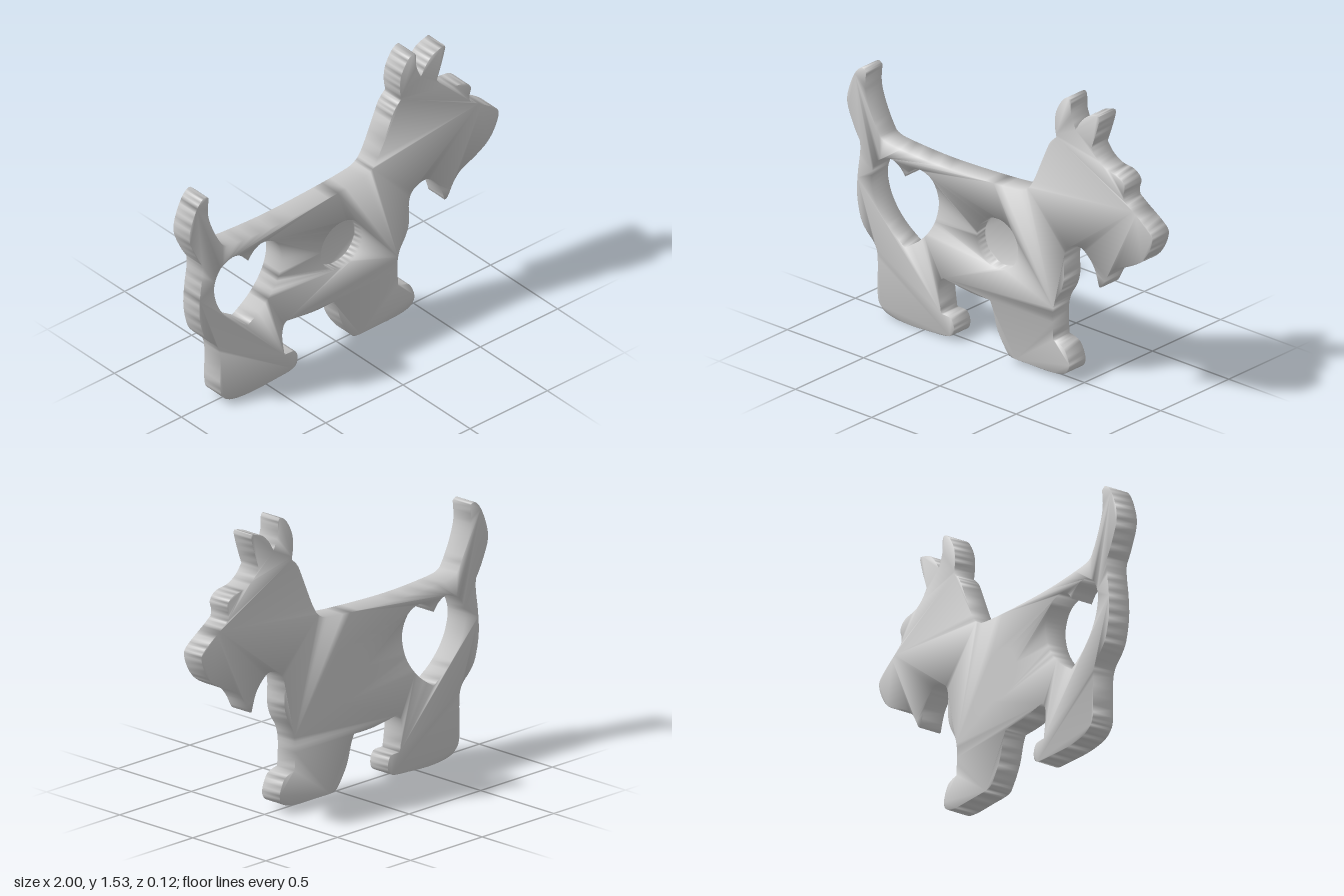
import * as THREE from 'three';
import { mergeGeometries, toCreasedNormals } from 'three/addons/utils/BufferGeometryUtils.js';

const HALF = 0.06; // half of the plate thickness
const FLOOR = 0; // z of the recess floor
const RECESS = { x: -0.015, y: 0.611, r: 0.135 };

// Outline in runs between sharp corners, clockwise from the tail tip
const back = [[-0.875, 1.275], [-0.88, 1.18], [-0.85, 1.08], [-0.8, 0.98], [-0.76, 0.94], [-0.65, 0.925], [-0.4, 0.915],
  [-0.1, 0.925], [0.1, 0.94], [0.17, 0.96], [0.22, 1.02], [0.3, 1.2], [0.33, 1.26], [0.37, 1.3]];
const rearEar = [[0.37, 1.3], [0.36, 1.37], [0.37, 1.44], [0.41, 1.51], [0.45, 1.535], [0.465, 1.515], [0.468, 1.45], [0.497, 1.375]];
const frontEarTop = [[0.497, 1.375], [0.53, 1.43], [0.58, 1.475], [0.65, 1.495]];
const frontEarFront = [[0.655, 1.48], [0.635, 1.41], [0.6, 1.31]];
const brow = [[0.6, 1.31], [0.64, 1.26], [0.7, 1.225], [0.78, 1.21], [0.82, 1.17], [0.81, 1.12], [0.815, 1.09]];
const muzzle = [[0.815, 1.09], [0.87, 1.05], [0.96, 0.99], [1, 0.945], [0.98, 0.87], [0.93, 0.8], [0.85, 0.75],
  [0.76, 0.71], [0.71, 0.66], [0.67, 0.588], [0.65, 0.58]];
const chest = [[0.65, 0.58], [0.62, 0.67], [0.57, 0.73], [0.52, 0.755], [0.45, 0.73], [0.42, 0.67], [0.42, 0.55],
  [0.4, 0.48], [0.36, 0.41], [0.345, 0.33], [0.35, 0.205]];
const frontPaw = [[0.35, 0.205], [0.42, 0.18], [0.455, 0.1], [0.43, 0.05], [0.35, 0.03], [0.2, 0.028], [0.08, 0.03],
  [0.04, 0.06], [-0.015, 0.15], [-0.045, 0.25], [-0.065, 0.295]];
const belly = [[-0.065, 0.295], [-0.2, 0.297], [-0.37, 0.32]];
const thigh = [[-0.37, 0.32], [-0.39, 0.3], [-0.4, 0.24], [-0.385, 0.125]];
const hindPaw = [[-0.385, 0.125], [-0.32, 0.12], [-0.3, 0.065], [-0.33, 0.02], [-0.45, 0.008], [-0.6, 0.002], [-0.72, 0.015],
  [-0.78, 0.05], [-0.8, 0.11], [-0.8, 0.3], [-0.82, 0.37], [-0.87, 0.42], [-0.91, 0.48], [-0.935, 0.6],
  [-0.93, 0.72], [-0.915, 0.83], [-0.915, 0.89]];
const tail = [[-0.915, 0.89], [-0.96, 0.97], [-1, 1.08], [-0.98, 1.18], [-0.94, 1.26], [-0.9, 1.29], [-0.875, 1.275]];

// Right half of the heart, from the point up to the notch, x measured from its centre
const HEART_X = -0.62;
const heartHalf = [[0, 0.408], [0.09, 0.47], [0.16, 0.545], [0.205, 0.63], [0.22, 0.73], [0.18, 0.82], [0.1, 0.855], [0.04, 0.835], [0, 0.79]];

// Smooth curve through a run of points, last point left for the next run
function smoothRun(run, steps = 4) {
  const curve = new THREE.SplineCurve(run.map(([x, y]) => new THREE.Vector2(x, y)));
  return curve.getPoints((run.length - 1) * steps).slice(0, -1);
}

function circlePoints({ x, y, r }, n = 64) {
  return Array.from({ length: n }, (_, i) => {
    const a = (i / n) * Math.PI * 2;
    return new THREE.Vector2(x + r * Math.cos(a), y + r * Math.sin(a));
  });
}

export function createModel() {
  const group = new THREE.Group();
  group.name = 'dogPlate';

  // Dog silhouette with a heart cut-out and a round opening
  const runs = [back, rearEar, frontEarTop, [frontEarTop.at(-1), frontEarFront[0]], frontEarFront, brow, muzzle, chest,
    frontPaw, belly, thigh, hindPaw, tail];
  const dog = new THREE.Shape(runs.flatMap((run) => smoothRun(run)));
  const mirrored = heartHalf.map(([x, y]) => [-x, y]).reverse();
  const heart = [heartHalf, mirrored].flatMap((run) => smoothRun(run.map(([x, y]) => [x + HEART_X, y])));
  const disc = circlePoints(RECESS);
  dog.holes.push(new THREE.Path(heart), new THREE.Path(disc));
  const plate = new THREE.ExtrudeGeometry(dog, { depth: HALF * 2, bevelEnabled: false });
  plate.translate(0, 0, -HALF);

  // End the wall of the round opening at the recess floor (second group holds the walls)
  const position = plate.attributes.position;
  const walls = plate.groups[1];
  for (let i = walls.start; i < walls.start + walls.count; i++) {
    const distance = Math.hypot(position.getX(i) - RECESS.x, position.getY(i) - RECESS.y);
    if (distance < RECESS.r + 0.001 && position.getZ(i) < 0) position.setZ(i, FLOOR);
  }

  // Recess floor, and the disc that closes the back, turned to face backwards
  const discGeometry = new THREE.ShapeGeometry(new THREE.Shape(disc)).toNonIndexed();
  const floor = discGeometry.clone().translate(0, 0, FLOOR);
  const backDisc = discGeometry.clone().translate(-RECESS.x, 0, 0).rotateY(Math.PI).translate(RECESS.x, 0, -HALF);

  // One closed body, shaded softly round its edges
  const body = new THREE.Mesh(
    toCreasedNormals(mergeGeometries([plate, floor, backDisc]), 1.7),
    new THREE.MeshStandardMaterial({ color: 0xcccccc }),
  );
  body.name = 'dogBody';
  group.add(body);
  return group;
}
